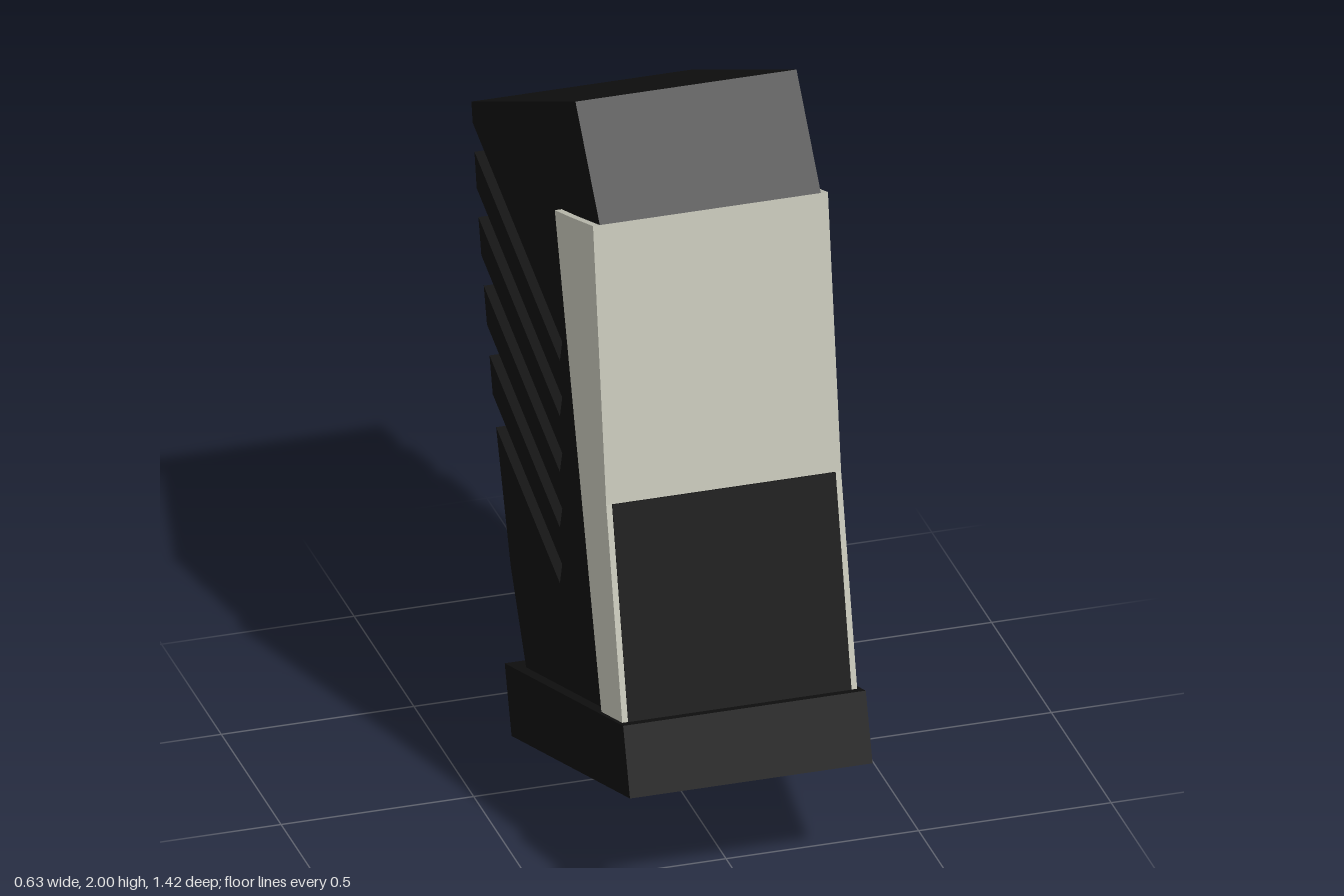
import * as THREE from 'three';

export function createModel() {
  const group = new THREE.Group();
  const black = new THREE.MeshStandardMaterial({ color: 0x101010, side: THREE.DoubleSide });
  black.name = 'black';
  const cream = new THREE.MeshStandardMaterial({ color: 0xc5c5b8 });
  cream.name = 'warm grey';

  const add = (geometry, material, name) => {
    const mesh = new THREE.Mesh(geometry, material);
    mesh.name = name;
    group.add(mesh);
    return mesh;
  };

  // Slab with a [z, y] outline, filling x0..x1
  const slab = (points, x0, x1, material, name) => {
    const shape = new THREE.Shape(points.map(([z, y]) => new THREE.Vector2(z, y)));
    const g = new THREE.ExtrudeGeometry(shape, { depth: x1 - x0, bevelEnabled: false });
    g.rotateY(-Math.PI / 2).translate(x1, 0, 0);
    return add(g, material, name);
  };

  // Thin sheet following a [z, y] line across the width
  const sheet = (points, half, name) => {
    const pos = [];
    for (let i = 0; i < points.length - 1; i++) {
      const [z0, y0] = points[i], [z1, y1] = points[i + 1];
      pos.push(-half, y0, z0, half, y0, z0, half, y1, z1);
      pos.push(-half, y0, z0, half, y1, z1, -half, y1, z1);
    }
    const g = new THREE.BufferGeometry();
    g.setAttribute('position', new THREE.Float32BufferAttribute(pos, 3));
    g.computeVertexNormals();
    return add(g, black, name);
  };

  // Curved rear edge, from top to bottom
  const rear = [[-0.705, 1.56], [-0.645, 1.26], [-0.603, 1.1], [-0.524, 0.82], [-0.376, 0.423], [-0.245, 0.2]];
  const rearZ = (y) => {
    for (let i = 0; i < rear.length - 1; i++) {
      const [z0, y0] = rear[i], [z1, y1] = rear[i + 1];
      if (y >= y1) return z0 + ((y - y0) / (y1 - y0)) * (z1 - z0);
    }
    return rear[rear.length - 1][0];
  };

  // Where a sloping slot edge meets the rear edge
  const slope = 0.315;
  const meetRear = (z, y) => {
    let hit = y;
    for (let i = 0; i < 20; i++) hit = y + slope * (z - rearZ(hit));
    return [rearZ(hit), hit];
  };

  // Side walls with five slots open to the rear
  const edge = [];
  for (let i = 0; i < 5; i++) {
    const drop = i * 0.156;
    const up = [0.055, 1.27 - drop], low = [0.035, 1.207 - drop];
    edge.push(meetRear(...up), up, low, meetRear(...low));
  }
  const inSlot = (y) => {
    for (let i = 0; i < edge.length; i += 4) if (y < edge[i][1] && y > edge[i + 3][1]) return true;
    return false;
  };
  const corners = rear.slice(1, 4).filter(([, y]) => !inSlot(y));
  for (const c of corners) {
    // Insert each rear corner between slots, keeping the outline in order
    let at = edge.length;
    for (let i = 0; i < edge.length; i++) {
      if (edge[i][0] < -0.3 && edge[i][1] < c[1]) { at = i; break; }
    }
    edge.splice(at, 0, c);
  }
  const wall = [[0.165, 2], rear[0], ...edge, rear[4], rear[5], [-0.22, 0.16],
    [0.455, 0.38], [0.44, 0.43], [0.05, 1.64], [0.19, 1.69], [0.37, 1.755]];
  slab(wall, 0.25, 0.287, black, 'leftSideWall');
  slab(wall, -0.287, -0.25, black, 'rightSideWall');

  // Top and rear skins between the walls
  sheet([[0.37, 1.755], [0.165, 2], [-0.705, 1.56]], 0.25, 'topCover');
  sheet(rear, 0.25, 'rearSkin');

  // Pale front cover: two cheeks and an upper face
  const cheek = [[0.37, 1.757], [0.19, 1.69], [0.05, 1.64], [0.44, 0.43], [0.615, 0.485], [0.48, 1.03]];
  slab(cheek, 0.285, 0.305, cream, 'leftCheek');
  slab(cheek, -0.305, -0.285, cream, 'rightCheek');
  slab([[0.37, 1.757], [0.48, 1.03], [0.46, 1.03], [0.35, 1.75]], -0.285, 0.285, cream, 'upperFrontPanel');

  // Dark lower front panel
  slab([[0.483, 1.03], [0.62, 0.47], [0.6, 0.46], [0.46, 1.03]], -0.29, 0.29, black, 'lowerFrontPanel');

  // Tilted base
  const base = add(new THREE.BoxGeometry(0.63, 0.184, 1.042), black, 'base');
  base.rotation.x = -Math.atan2(0.325, 0.99);
  base.position.set(0, 0.25, 0.1875);

  return group;
}
